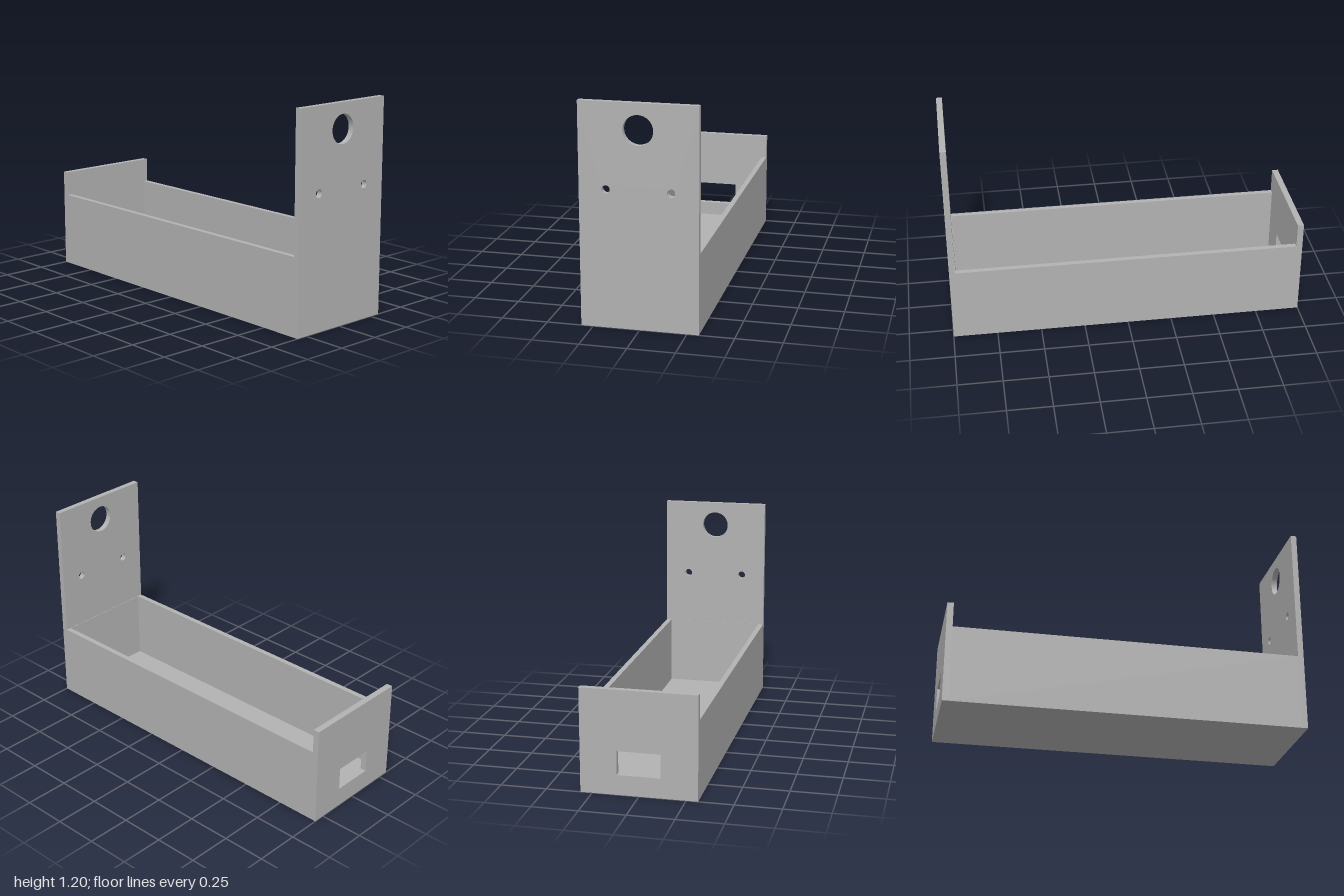
import * as THREE from 'three';

const W = 0.627, H = 0.43, T = 0.03, END = 0.035;

export function createModel() {
  const group = new THREE.Group();
  const grey = new THREE.MeshStandardMaterial({ color: 0xb2b2b2 });
  grey.name = 'plain grey';

  const add = (name, geometry, x, y, z) => {
    const mesh = new THREE.Mesh(geometry, grey);
    mesh.name = name;
    mesh.position.set(x, y, z);
    group.add(mesh);
  };

  // Upright end plate standing on y = 0, with optional cut-outs
  const plate = (height, depth, holes) => {
    const shape = new THREE.Shape([
      new THREE.Vector2(-W / 2, 0), new THREE.Vector2(W / 2, 0),
      new THREE.Vector2(W / 2, height), new THREE.Vector2(-W / 2, height),
    ]);
    shape.holes.push(...holes);
    return new THREE.ExtrudeGeometry(shape, { depth, bevelEnabled: false, curveSegments: 32 });
  };
  const roundHole = (x, y, r) => new THREE.Path().absarc(x, y, r, 0, Math.PI * 2, true);

  // Tall front plate with one large and two small round holes
  add('frontPlate', plate(1.2, END - 0.002, [
    roundHole(0, 1.06, 0.079),
    roundHole(-0.171, 0.745, 0.022),
    roundHole(0.171, 0.745, 0.022),
  ]), 0, 0, 1 - END + 0.002);

  // Low back plate with a rectangular slot
  const slot = new THREE.Path([
    new THREE.Vector2(-0.117, 0.11), new THREE.Vector2(-0.117, 0.24),
    new THREE.Vector2(0.117, 0.24), new THREE.Vector2(0.117, 0.11),
  ]);
  add('backPlate', plate(0.57, END, [slot]), 0, 0, -1);

  // Open trough between the plates: floor, side walls and thin front lining
  const length = 2 - 2 * END;
  add('floor', new THREE.BoxGeometry(W - 2 * T, T, length), 0, T / 2, 0);
  for (const side of [-1, 1]) {
    add(side > 0 ? 'leftWall' : 'rightWall',
      new THREE.BoxGeometry(T, H, length), side * (W - T) / 2, H / 2, 0);
  }
  add('frontLining', new THREE.BoxGeometry(W, H, 0.003), 0, H / 2, 1 - END + 0.0005);

  return group;
}
